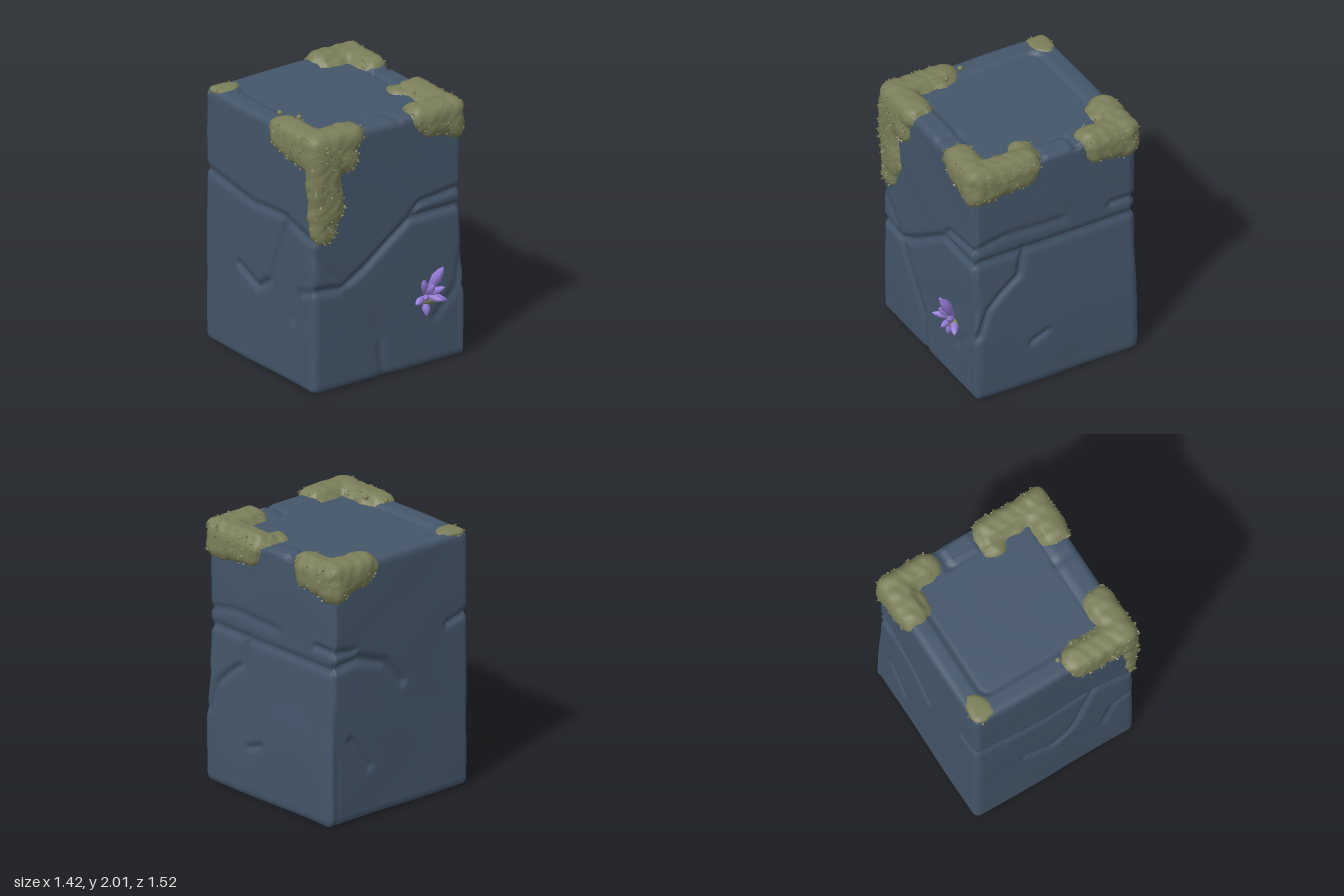
import * as THREE from 'three';
import { mergeVertices, mergeGeometries } from 'three/addons/utils/BufferGeometryUtils.js';

const CENTRE = new THREE.Vector3(0.005, 0.975, -0.035);
const HALF = new THREE.Vector3(0.66, 0.975, 0.665);
const ROUND = 0.05;
const vec = (x, y, z) => new THREE.Vector3(x, y, z);

// Each side of the block turns a 2D point into a point on the stone
const front = (x, y) => vec(x, y, 0.63);
const back = (x, y) => vec(x, y, -0.7);
const right = (z, y) => vec(0.66, y, z);
const left = (z, y) => vec(-0.66, y, z);
const top = (x, z) => vec(x, 1.95, z);

// Cracks follow straight lines between points on one side
const cracks = [];
function crack(side, depth, width, ...points) {
  for (let i = 1; i < points.length; i++) {
    cracks.push({ depth, width, line: new THREE.Line3(side(...points[i - 1]), side(...points[i])) });
  }
}
crack(front, 0.032, 0.028, [-0.66, 0.8], [-0.4, 0.77], [-0.2, 0.88], [0.2, 1.17], [0.66, 1.17]);
crack(front, 0.026, 0.022, [0.2, 1.19], [0.28, 1.27], [0.66, 1.31]);
crack(front, 0.014, 0.03, [-0.65, 1.08], [-0.36, 0.77]);
crack(front, 0.015, 0.035, [-0.38, 0.77], [-0.07, 0.3], [-0.04, 0]);
crack(front, 0.012, 0.035, [0.66, 0.82], [0.6, 0.55], [0.42, 0.36]);
crack(right, 0.022, 0.03, [0.63, 1.19], [-0.7, 1.19]);
crack(right, 0.03, 0.026, [0.22, 1.2], [0.26, 0.98], [0.42, 0.86], [0.52, 0.76], [0.6, 0.55]);
crack(right, 0.016, 0.03, [0.63, 1.31], [0.35, 1.36], [-0.1, 1.34]);
crack(right, 0.025, 0.022, [0.17, 0.37], [0.05, 0.42]);
crack(right, 0.028, 0.024, [-0.5, 1.33], [-0.7, 1.33]);
crack(back, 0.032, 0.03, [0.66, 1.2], [0.4, 1.23], [0.15, 1.14], [-0.02, 0.95]);
crack(back, 0.028, 0.024, [0.66, 1.33], [0.45, 1.3]);
crack(back, 0.025, 0.025, [0.48, 0.62], [0.3, 0.38]);
crack(back, 0.03, 0.024, [-0.45, 1.28], [-0.66, 1.33]);
crack(left, 0.022, 0.03, [-0.7, 1.33], [-0.1, 1.25], [0.25, 1.27], [0.63, 1.18]);
crack(left, 0.03, 0.026, [0.3, 1.27], [0.1, 0.72], [-0.05, 0.62], [-0.28, 0.72]);
crack(left, 0.018, 0.03, [0.63, 0.8], [0.45, 0.74], [0.38, 0.5]);
crack(top, 0.014, 0.03, [0.1, 0.45], [0.11, 0.63]);
crack(top, 0.035, 0.03, [0.5, -0.22], [0.66, -0.22]);
crack(top, 0.03, 0.025, [0.5, 0.07], [0.66, 0.07]);

// Moss cushions are rounded bars lying on the stone
const cushions = [];
function cushion(start, end, radius, thickness) {
  cushions.push({ line: new THREE.Line3(start, end), radius, thickness });
}
// Moss wrapped over a top corner: two rims and a drip down each side
function mossCorner(sx, sz, lengthX, lengthZ) {
  const x = sx * 0.58, z = sz > 0 ? 0.57 : -0.63;
  const sideX = sx * 0.655, sideZ = z + sz * 0.06;
  cushion(vec(x, 1.94, z), vec(x - sx * lengthX, 1.93, z), 0.14, 0.05);
  cushion(vec(x, 1.94, z), vec(x, 1.94, z - sz * lengthZ), 0.135, 0.045);
  cushion(vec(sx * 0.61, 1.82, sideZ), vec(x - sx * lengthX * 0.75, 1.88, sideZ), 0.115, 0.045);
  cushion(vec(sideX, 1.82, z), vec(sideX, 1.87, z - sz * lengthZ), 0.11, 0.04);
}
mossCorner(-1, 1, 0.24, 0.36);
mossCorner(1, 1, 0.24, 0.39);
mossCorner(1, -1, 0.24, 0.24);
// Long tongue hanging down the front
cushion(front(-0.54, 1.85), front(-0.38, 1.77), 0.12, 0.05);
cushion(front(-0.56, 1.8), front(-0.53, 1.4), 0.14, 0.05);
cushion(front(-0.58, 1.45), front(-0.56, 1.26), 0.11, 0.035);
// Lump reaching onto the panel, and a thin patch on the bare corner
cushion(top(0.47, 0.14), top(0.6, 0.17), 0.1, 0.035);
cushion(vec(-0.56, 2, -0.61), vec(-0.52, 2, -0.61), 0.11, 0.012);

const smooth = THREE.MathUtils.smoothstep;
const nearest = new THREE.Vector3();
const distTo = (line, p) => line.closestPointToPoint(p, true, nearest).distanceTo(p);
const wave = (p, f) => Math.sin(p.x * f + 1.3 * Math.sin(p.y * f * 0.7))
  * Math.sin(p.y * f * 0.9 + 1.1 * Math.sin(p.z * f)) + Math.sin(p.z * f * 1.1 + p.x * f * 0.6 + 2) * 0.5;

// How far the stone surface sits below the plain rounded block
function carve(p, n) {
  let cut = 0;
  for (const c of cracks) {
    const d = distTo(c.line, p) / c.width;
    cut = Math.max(cut, c.depth * Math.exp(-d * d));
  }
  cut += 0.003 * wave(p, 6);
  // the +x side leans in towards the top
  if (n.x > 0.5) cut += 0.02 * smooth(p.y, 0.5, 1.35) - 0.018 * (1 - smooth(p.y, 0.4, 1.2));
  if (n.y > 0.9) {
    // sunken panel inside the rim
    const qx = Math.abs(p.x) - 0.41, qz = Math.abs(p.z + 0.045) - 0.415;
    const d = Math.hypot(Math.max(qx, 0), Math.max(qz, 0)) + Math.min(Math.max(qx, qz), 0) - 0.08;
    cut += 0.022 * (1 - smooth(d, -0.012, 0.012)) + 0.012 * Math.exp(-((d / 0.015) ** 2));
    // sunken rim stone
    if (p.x > 0.52 && p.z > -0.18 && p.z < 0.06) cut += 0.012;
  }
  return cut;
}

// Height of the moss above the stone, negative where there is none
function mossHeight(p) {
  let h = -0.03;
  const ragged = 0.012 * wave(p, 19) + 0.006 * wave(p, 47);
  for (const c of cushions) {
    const m = (c.radius + ragged - distTo(c.line, p)) / c.radius;
    h = Math.max(h, m < 0 ? m * 0.3 : c.thickness * Math.sqrt(Math.min(1, m * 1.6)));
  }
  return h > 0.015 ? h + 0.004 * wave(p, 60) : h;
}

// Finely divided rounded block, moved along its normals by a height rule
function blockShell(height, keepAbove) {
  let g = new THREE.BoxGeometry(HALF.x * 2, HALF.y * 2, HALF.z * 2, 64, 92, 64);
  g.deleteAttribute('uv');
  g.deleteAttribute('normal');
  g = mergeVertices(g);
  const pos = g.attributes.position, inner = HALF.clone().subScalar(ROUND);
  const outer = inner.clone().negate(), heights = [];
  const p = new THREE.Vector3(), q = new THREE.Vector3(), n = new THREE.Vector3();
  for (let i = 0; i < pos.count; i++) {
    p.fromBufferAttribute(pos, i);
    q.copy(p).clamp(outer, inner);
    n.copy(p).sub(q).normalize();
    p.copy(q).addScaledVector(n, ROUND).add(CENTRE);
    const h = height(p);
    heights.push(h);
    p.addScaledVector(n, h - carve(p, n));
    pos.setXYZ(i, p.x, Math.max(p.y, 0), p.z);
  }
  g.computeVertexNormals();
  const all = g.index.array, kept = [];
  for (let i = 0; i < all.length; i += 3) {
    const tri = [all[i], all[i + 1], all[i + 2]];
    if (tri.some((k) => heights[k] > keepAbove)) kept.push(...tri);
  }
  g.setIndex(kept);
  return g;
}

// Small crumbs scattered over the sides of the moss, and two round buds
function mossCrumbs(moss) {
  let seed = 7;
  const rnd = () => (seed = (seed * 16807) % 2147483647) / 2147483647;
  const { position, normal } = moss.attributes, index = moss.index.array, parts = [];
  for (let i = 0; i < 600; i++) {
    const k = index[Math.floor(rnd() * index.length)];
    const p = new THREE.Vector3().fromBufferAttribute(position, k);
    const n = new THREE.Vector3().fromBufferAttribute(normal, k);
    if (n.y > 0.8 || mossHeight(p) < 0 || (p.x > 0 && rnd() < 0.4)) continue;
    const size = 0.006 + 0.008 * rnd();
    const crumb = new THREE.TetrahedronGeometry(size).rotateX(rnd() * 6).rotateY(rnd() * 6);
    p.addScaledVector(n, size * 0.5);
    parts.push(crumb.translate(p.x, p.y, p.z));
  }
  for (const [x, z] of [[-0.54, 0.06], [-0.48, 0.21]]) {
    parts.push(new THREE.IcosahedronGeometry(0.02, 1).translate(x, 1.975, z));
  }
  return mergeGeometries(parts);
}

export function createModel() {
  const material = (name, color) => Object.assign(new THREE.MeshStandardMaterial({ color }), { name });
  const stone = material('slate stone', 0x44566a);
  const green = material('moss green', 0x7b7e59);
  const purple = material('crystal purple', 0x967dd8);
  const model = new THREE.Group();
  const add = (parent, name, geometry, mat) => {
    const mesh = new THREE.Mesh(geometry, mat);
    mesh.name = name;
    parent.add(mesh);
    return mesh;
  };

  add(model, 'stoneBlock', blockShell(() => 0, -1), stone);
  const moss = blockShell(mossHeight, 0);
  add(model, 'moss', moss, green);
  add(model, 'mossCrumbs', mossCrumbs(moss), green);

  // Crystal cluster growing from the front
  const cluster = new THREE.Group();
  cluster.name = 'crystalCluster';
  model.add(cluster);
  const root = vec(0.335, 0.535, 0.62);
  const shard = (x, y, z, width) => {
    const dir = vec(x, y, z).sub(root), length = dir.length();
    const profile = [[0.3, 0], [0.6, 0.3], [1, 0.6], [0.6, 0.84], [0, 1]]
      .map(([r, t]) => new THREE.Vector2(r * width, t * length));
    const mesh = add(cluster, 'crystalShard', new THREE.LatheGeometry(profile, 7), purple);
    mesh.position.copy(root);
    mesh.quaternion.setFromUnitVectors(vec(0, 1, 0), dir.normalize());
  };
  shard(0.4, 0.79, 0.755, 0.042);
  shard(0.27, 0.7, 0.7, 0.03);
  shard(0.21, 0.51, 0.68, 0.03);
  shard(0.48, 0.49, 0.69, 0.032);
  shard(0.32, 0.39, 0.66, 0.032);
  shard(0.44, 0.61, 0.72, 0.028);
  shard(0.25, 0.57, 0.75, 0.026);
  shard(0.39, 0.53, 0.755, 0.026);
  shard(0.33, 0.66, 0.74, 0.03);
  const base = add(cluster, 'crystalMossBase', new THREE.SphereGeometry(1, 14, 10), green);
  base.position.set(0.355, 0.51, 0.63);
  base.scale.set(0.07, 0.04, 0.05);
  return model;
}
